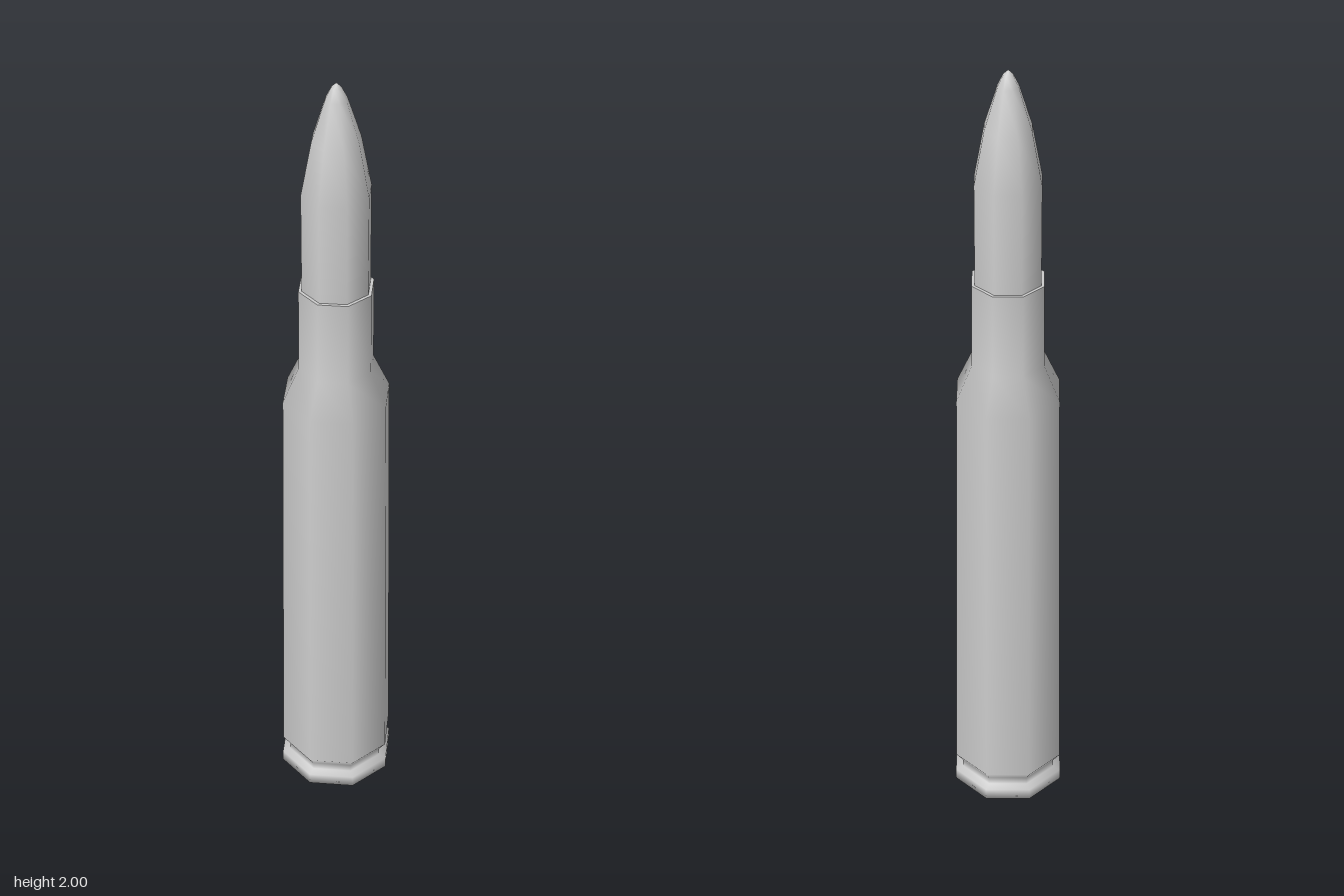
import * as THREE from 'three';

const SIDES = 8;

// Smooth eight-sided turned part from [radius, height] pairs, bottom to top
function turned(name, profile) {
  const points = profile.map(([r, y]) => new THREE.Vector2(r, y));
  const material = new THREE.MeshStandardMaterial({ color: 0xcccccc });
  const mesh = new THREE.Mesh(new THREE.LatheGeometry(points, SIDES), material);
  mesh.name = name;
  return mesh;
}

export function createModel() {
  const model = new THREE.Group();
  model.name = 'cartridge';

  // Casing: base, rim, extractor groove, tapered body, shoulder and neck
  model.add(turned('casing', [
    [0, 0], [0.147, 0], [0.147, 0.03],
    [0.127, 0.035], [0.127, 0.055], [0.145, 0.08],
    [0.132, 1.17], [0.092, 1.26], [0.091, 1.475],
  ]));

  // Flat lip at the mouth of the neck
  model.add(turned('mouth', [[0.091, 1.475], [0.083, 1.475]]));

  // Projectile: straight shank and pointed nose
  model.add(turned('projectile', [
    [0.083, 1.44], [0.083, 1.73], [0.058, 1.86],
    [0.026, 1.96], [0.012, 1.988], [0, 2],
  ]));

  return model;
}
